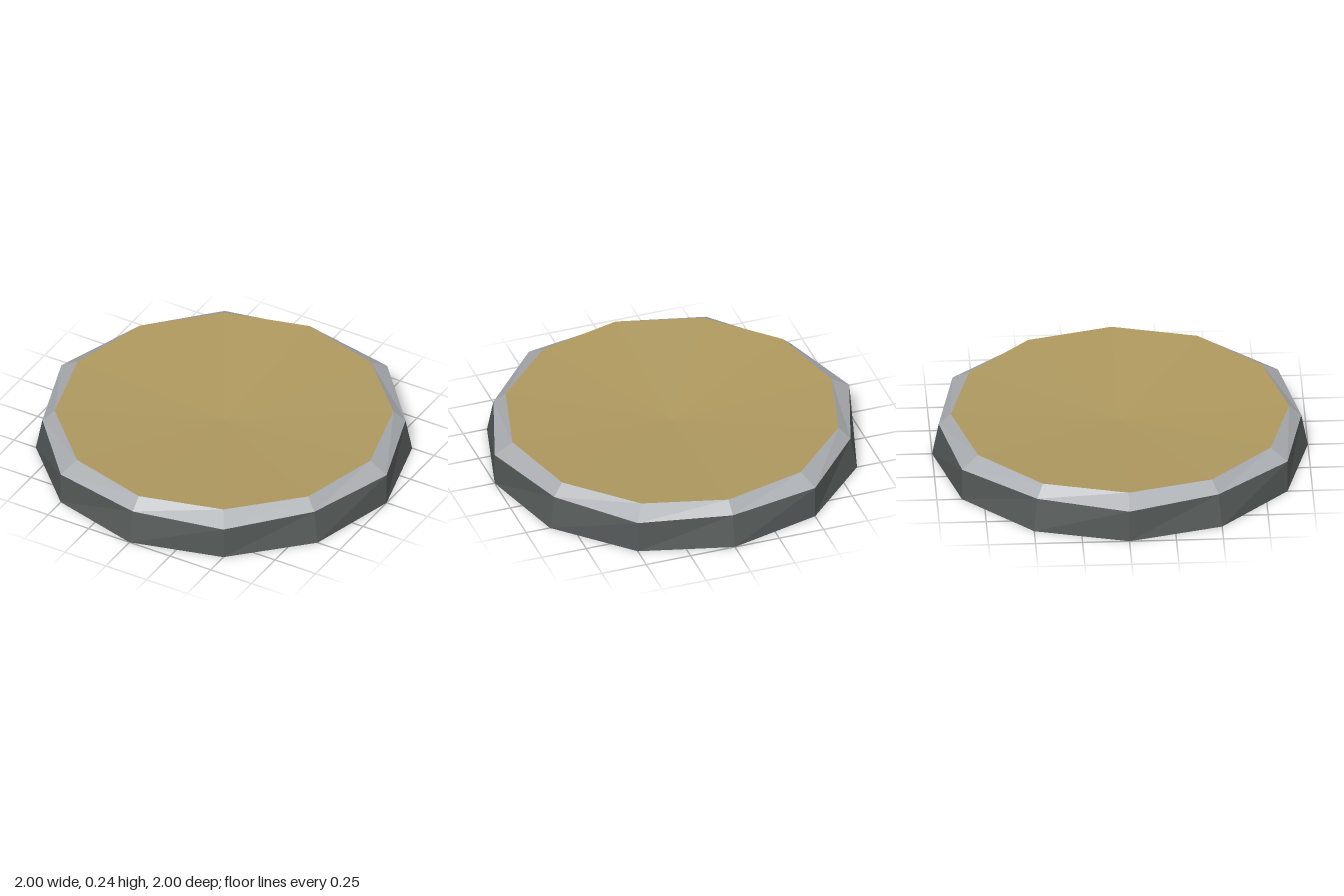
import * as THREE from 'three';

const SIDES = 12;

// One ring of the dish; every second corner (starting at the front) may be pulled inward.
function ring(radius, y, alternate = radius) {
  return Array.from({ length: SIDES }, (_, i) => {
    const a = (i / SIDES) * Math.PI * 2;
    const r = i % 2 ? radius : alternate;
    return [r * Math.sin(a), y, r * Math.cos(a)];
  });
}

// Faceted band between two rings, split from lower left to upper right.
function band(name, lower, upper, material) {
  const points = [];
  for (let i = 0; i < SIDES; i++) {
    const j = (i + 1) % SIDES;
    points.push(...lower[i], ...lower[j], ...upper[j]);
    points.push(...lower[i], ...upper[j], ...upper[i]);
  }
  const geometry = new THREE.BufferGeometry();
  geometry.setAttribute('position', new THREE.Float32BufferAttribute(points, 3));
  geometry.computeVertexNormals();
  const mesh = new THREE.Mesh(geometry, material);
  mesh.name = name;
  return mesh;
}

function flatMaterial(name, color) {
  const material = new THREE.MeshStandardMaterial({ color, flatShading: true });
  material.name = name;
  return material;
}

export function createModel() {
  const gold = flatMaterial('dull gold', 0xae985f);
  const lightGrey = flatMaterial('light grey', 0xa9acb0);
  const darkGrey = flatMaterial('dark grey', 0x565b5a);

  // Rings that the parts share; the shoulder is shaved at alternate corners.
  const foot = ring(1, 0);
  const recess = ring(0.8, 0.03);
  const corners = ring(1, 0.18, 0.965);
  // Rotate the alternation: full radius at both sides (+x, -x), shaved at front and back.
  const shoulder = corners.map(([x, y, z], i) => {
    const a = (i / SIDES) * Math.PI * 2;
    const r = i % 2 ? 1 : 0.965;
    return [r * Math.sin(a), y, r * Math.cos(a)];
  });
  const lip = ring(0.9, 0.24);

  const model = new THREE.Group();
  model.name = 'facetedDisc';
  model.add(
    // Hollowed underside
    band('underside', ring(0, 0.03), recess, lightGrey),
    band('undersideRim', recess, foot, lightGrey),
    // Outer wall and bevel
    band('outerWall', foot, shoulder, darkGrey),
    band('bevelledRim', shoulder, lip, lightGrey),
    // Shallow dished top
    band('dishedTop', lip, ring(0, 0.18), gold),
  );
  return model;
}
